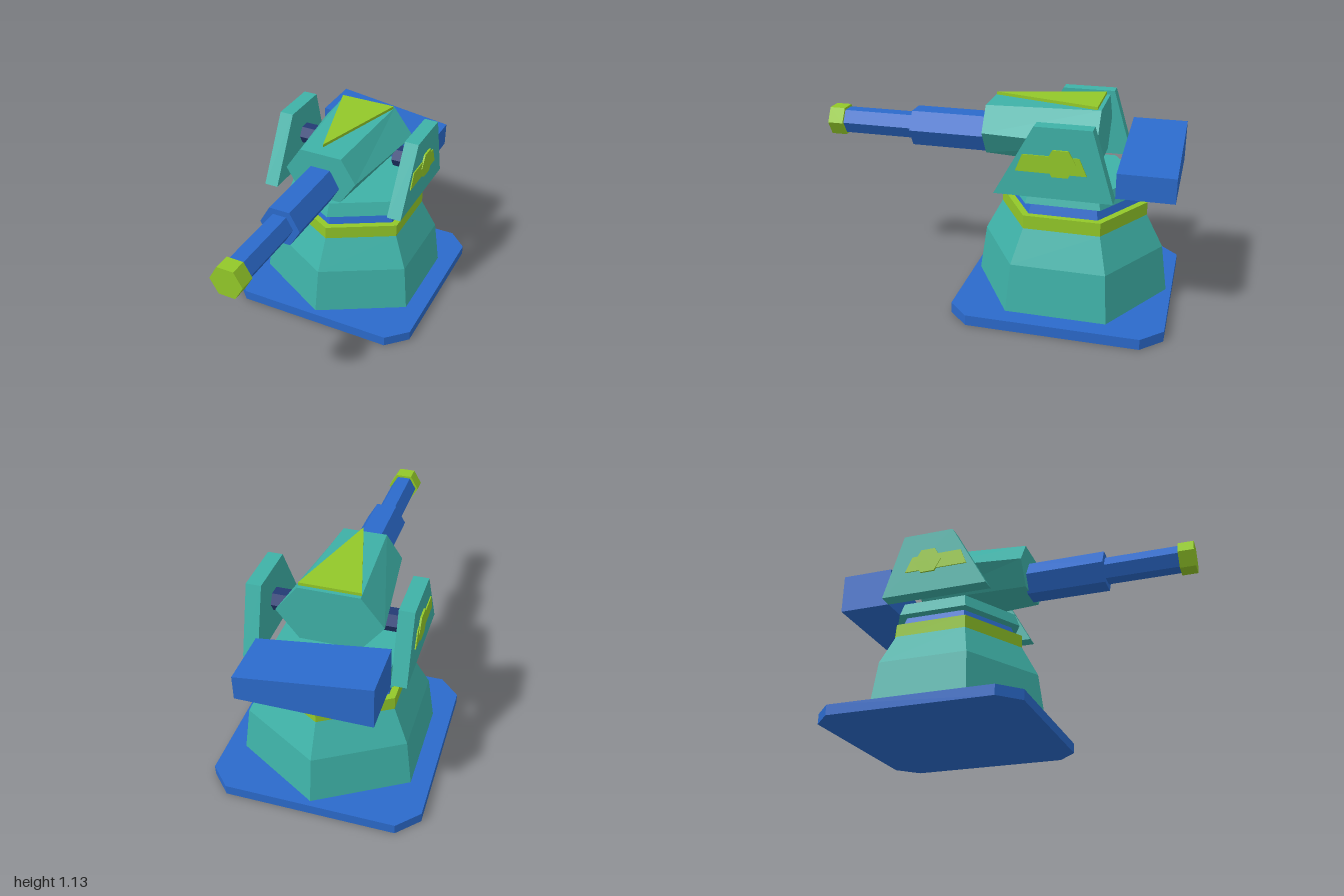
import * as THREE from 'three';

const material = (name, color) => {
  const m = new THREE.MeshStandardMaterial({ color });
  m.name = name;
  return m;
};

export function createModel() {
  const teal = material('teal', 0x3eb1a7);
  const blue = material('blue', 0x2b6acb);
  const lime = material('lime', 0x93c829);
  const navy = material('navy', 0x233a74);

  const model = new THREE.Group();
  model.name = 'turret';
  const CZ = -0.43; // turning axis
  const GUN_Y = 0.904; // gun and trunnion height

  // Add a flat-shaded mesh
  const add = (name, geometry, mat) => {
    const g = geometry.index ? geometry.toNonIndexed() : geometry;
    g.computeVertexNormals();
    const mesh = new THREE.Mesh(g, mat);
    mesh.name = name;
    model.add(mesh);
  };

  const extrude = (points, depth) => new THREE.ExtrudeGeometry(
    new THREE.Shape(points.map(([x, y]) => new THREE.Vector2(x, y))),
    { depth, bevelEnabled: false });

  // Horizontal slab from an (x, z) outline
  const slab = (points, y0, y1) =>
    extrude(points, y1 - y0).rotateX(Math.PI / 2).translate(0, y1, 0);

  // Upright plate from a (z, y) outline, spanning x0..x1
  const sidePlate = (points, x0, x1) =>
    extrude(points.map(([z, y]) => [-z, y]), x1 - x0).rotateY(Math.PI / 2).translate(x0, 0, 0);

  // Chamfered ground plate
  const w = 0.571, d = 0.572, c = 0.112;
  const plate = [[w, c - d], [w, d - c], [w - c, d], [c - w, d],
    [-w, d - c], [-w, c - d], [c - w, -d], [w - c, -d]].map(([x, z]) => [x, z + CZ + 0.002]);
  add('groundPlate', slab(plate, 0, 0.058), blue);

  // Six-sided pedestal tiers: name, bottom y, top y, bottom radius, top radius
  const tiers = [
    ['pedestalLower', 0.058, 0.32, 0.54, 0.502, teal],
    ['pedestalUpper', 0.32, 0.5, 0.502, 0.407, teal],
    ['pedestalBand', 0.5, 0.573, 0.407, 0.407, lime],
    ['swivelCollar', 0.573, 0.634, 0.366, 0.343, blue],
    ['turntable', 0.638, 0.714, 0.393, 0.364, teal],
  ];
  for (const [name, y0, y1, r0, r1, mat] of tiers) {
    add(name, new THREE.CylinderGeometry(r1, r0, y1 - y0, 6).translate(0, (y0 + y1) / 2, CZ), mat);
  }

  // Side shields with trunnions and badges
  const shield = [[-0.085, 0.714], [-0.29, 1.086], [-0.585, 1.086], [-0.7, 0.714]];
  const badge = [[-0.2, 0.85], [-0.235, 0.94], [-0.525, 0.94], [-0.565, 0.85]];
  const hexAcross = (r, x0, x1) => new THREE.CylinderGeometry(r, r, x1 - x0, 6)
    .rotateZ(Math.PI / 2).translate((x0 + x1) / 2, GUN_Y, CZ);
  for (const [side, s] of [['left', 1], ['right', -1]]) {
    const span = (a, b) => (s > 0 ? [a, b] : [-b, -a]);
    add(side + 'Shield', sidePlate(shield, ...span(0.345, 0.425)), teal);
    add(side + 'Trunnion', hexAcross(0.06, ...span(0.24, 0.35)), navy);
    add(side + 'Badge', sidePlate(badge, ...span(0.425, 0.431)), lime);
    add(side + 'BadgeHub', hexAcross(0.081, ...span(0.42, 0.435)), lime);
  }

  // Gun housing: hexagonal section widening to the rear
  const section = (half, flat, bottom, mid, top, z) => [
    [half, mid, z], [flat, top, z], [-flat, top, z],
    [-half, mid, z], [-flat, bottom, z], [flat, bottom, z]];
  const front = section(0.207, 0.12, 0.82, 0.955, 1.087, 0.04);
  const back = section(0.28, 0.16, 0.806, 0.96, 1.114, -0.585);
  const tris = [];
  for (let i = 0; i < 6; i++) {
    const j = (i + 1) % 6;
    tris.push(front[i], back[i], back[j], front[i], back[j], front[j]);
    if (i > 0 && i < 5) tris.push(front[0], front[i], front[j], back[0], back[j], back[i]);
  }
  const housing = new THREE.BufferGeometry();
  housing.setAttribute('position', new THREE.Float32BufferAttribute(tris.flat(), 3));
  add('gunHousing', housing, teal);

  // Arrow plate on the housing
  add('topArrow', slab([[0, 0.01], [-0.16, -0.565], [0.16, -0.565]], 1.115, 1.131), lime);

  // Barrel in three hexagonal steps
  const barrel = [
    ['barrelSleeve', 0.113, 0.03, 0.486, blue],
    ['barrelTube', 0.076, 0.486, 0.9, blue],
    ['muzzle', 0.09, 0.9, 0.988, lime],
  ];
  for (const [name, r, z0, z1, mat] of barrel) {
    add(name, new THREE.CylinderGeometry(r, r, z1 - z0, 6).rotateY(Math.PI / 6)
      .rotateX(Math.PI / 2).translate(0, GUN_Y, (z0 + z1) / 2), mat);
  }

  // Rear counterweight with a top that slopes down to the left
  const weight = [[-0.345, 0.716], [0.345, 0.716], [0.345, 0.85], [-0.345, 0.942]];
  add('counterweight', extrude(weight, 0.3).translate(0, 0, -1), blue);

  return model;
}
